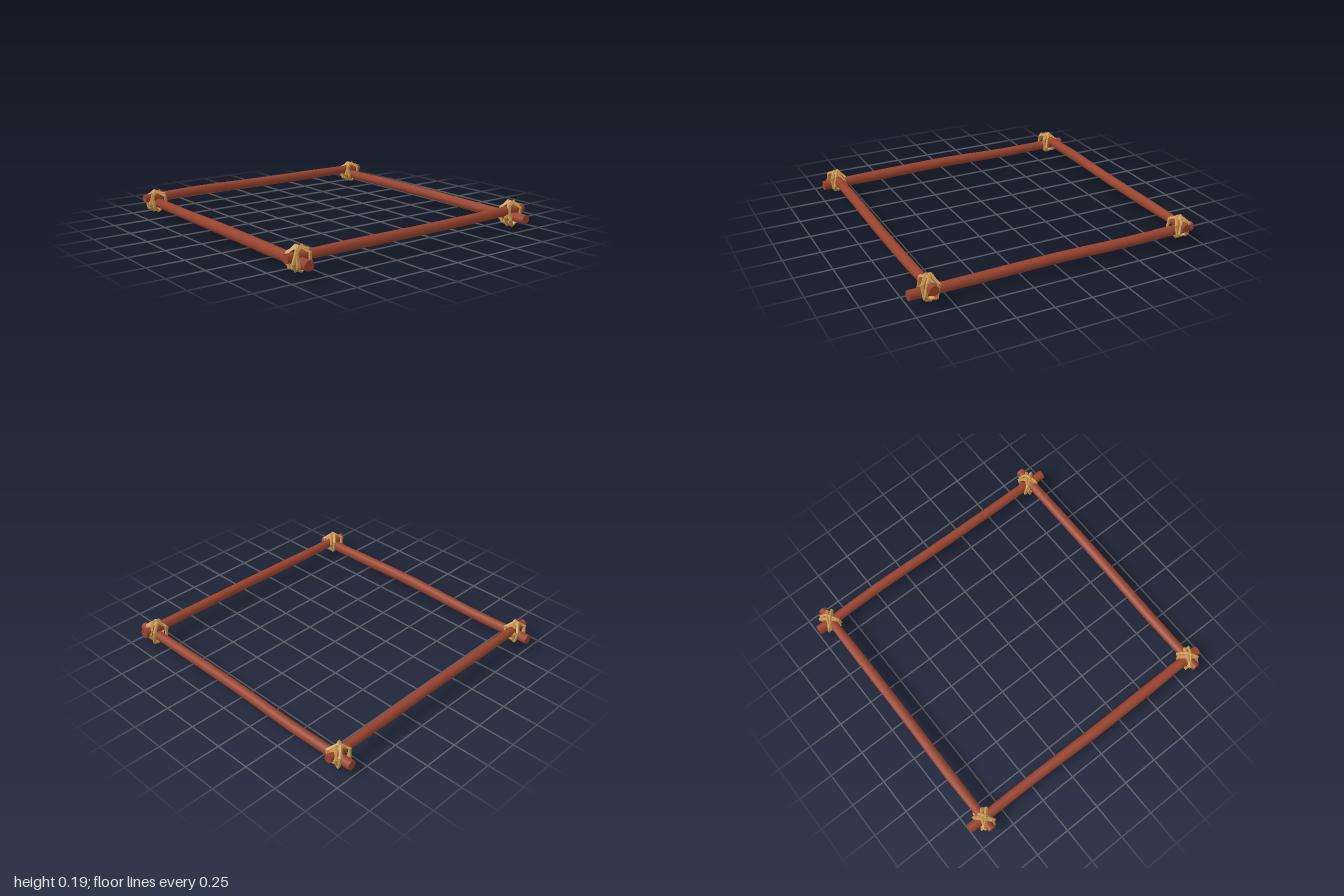
import * as THREE from 'three';

const wood = new THREE.MeshStandardMaterial({ color: 0x98432e });
wood.name = 'red brown wood';
const rope = new THREE.MeshStandardMaterial({ color: 0xc8964f, flatShading: true });
rope.name = 'tan rope';

// Slightly crooked pole; each station is [x, y, z, radius]
function pole(name, stations) {
  const curve = new THREE.CatmullRomCurve3(stations.map(s => new THREE.Vector3(s[0], s[1], s[2])));
  const rows = 12, sides = 10;
  const geo = new THREE.CylinderGeometry(1, 1, 1, sides, rows);
  const pos = geo.attributes.position;
  const a = curve.getPoint(0), b = curve.getPoint(1);
  const dir = b.clone().sub(a).normalize();
  const side = new THREE.Vector3(0, 1, 0).cross(dir).normalize();
  const up = dir.clone().cross(side);
  const v = new THREE.Vector3();
  for (let i = 0; i < pos.count; i++) {
    v.fromBufferAttribute(pos, i);
    const t = THREE.MathUtils.clamp(v.y + 0.5, 0, 1);
    const f = t * (stations.length - 1), k = Math.min(Math.floor(f), stations.length - 2);
    const r = THREE.MathUtils.lerp(stations[k][3], stations[k + 1][3], f - k);
    // rotation (x, y, z) -> (side, dir, -up) keeps the winding
    const p = curve.getPoint(t).addScaledVector(side, v.x * r).addScaledVector(up, -v.z * r);
    pos.setXYZ(i, p.x, p.y, p.z);
  }
  geo.computeVertexNormals();
  const mesh = new THREE.Mesh(geo, wood);
  mesh.name = name;
  return mesh;
}

// Crossed hexagonal rope loops around a corner
function lashing(name, x, y, z, height, turn) {
  const g = new THREE.Group();
  g.name = name;
  const loops = [
    [Math.PI / 4, 0.16, 0], [Math.PI / 4 + 0.3, -0.16, 0.2],
    [-Math.PI / 4, 0.16, 0.1], [-Math.PI / 4 - 0.3, -0.16, 0.3],
  ];
  for (const [yaw, tilt, roll] of loops) {
    const geo = new THREE.TorusGeometry(0.075, 0.011, 4, 6);
    geo.rotateZ(Math.PI / 6 + roll);
    geo.scale(1, height / 0.086, 1.1);
    geo.rotateX(tilt);
    geo.rotateY(yaw + turn);
    const m = new THREE.Mesh(geo, rope);
    m.name = 'ropeLoop';
    g.add(m);
  }
  g.position.set(x, y, z);
  return g;
}

export function createModel() {
  const model = new THREE.Group();
  model.name = 'lashedPoleFrame';

  // Lower poles run across, upper poles rest on them
  model.add(
    pole('frontPole', [[-1, 0.088, 0.858, 0.033], [-0.5, 0.082, 0.857, 0.034], [0, 0.088, 0.868, 0.037],
      [0.5, 0.082, 0.867, 0.038], [0.97, 0.078, 0.862, 0.033]]),
    pole('backPole', [[-0.99, 0.085, -0.868, 0.033], [-0.5, 0.085, -0.878, 0.034], [0, 0.088, -0.869, 0.034],
      [0.5, 0.082, -0.867, 0.034], [1, 0.08, -0.871, 0.032]]),
    pole('rightPole', [[-0.885, 0.127, -0.96, 0.028], [-0.883, 0.125, -0.5, 0.035], [-0.883, 0.125, 0, 0.034],
      [-0.89, 0.13, 0.5, 0.035], [-0.887, 0.125, 0.955, 0.028]]),
    pole('leftPole', [[0.872, 0.125, -0.965, 0.032], [0.878, 0.118, -0.5, 0.034], [0.876, 0.114, 0, 0.034],
      [0.868, 0.112, 0.5, 0.035], [0.87, 0.11, 0.955, 0.03]]),
  );

  model.add(
    lashing('frontRightLashing', -0.885, 0.1, 0.866, 0.083, 0),
    lashing('frontLeftLashing', 0.872, 0.1, 0.866, 0.085, 0.1),
    lashing('backRightLashing', -0.885, 0.105, -0.87, 0.083, 0.05),
    lashing('backLeftLashing', 0.868, 0.1, -0.865, 0.095, -0.1),
  );
  return model;
}
